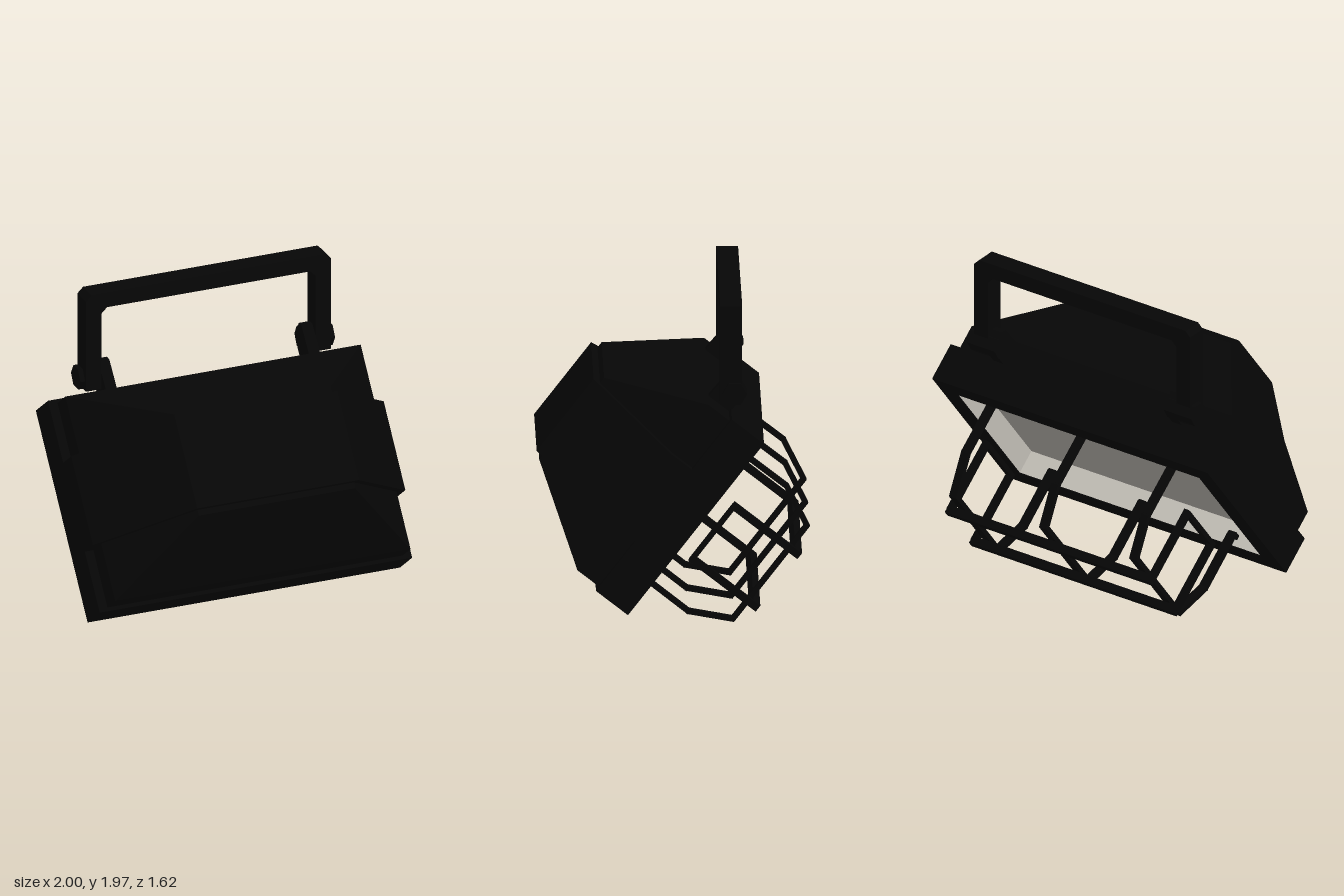
import * as THREE from 'three';

export function createModel() {
  const black = new THREE.MeshStandardMaterial({ color: 0x060606 });
  black.name = 'black';
  const beige = new THREE.MeshStandardMaterial({ color: 0xc3bfb7 });
  beige.name = 'reflector beige';

  const model = new THREE.Group();
  model.name = 'floodlight';

  // Lamp frame: local -z is the direction of the light, z = 0 the rim face
  const lamp = new THREE.Group();
  lamp.name = 'lamp';
  lamp.position.set(0, 0.63, -0.125);
  lamp.rotation.x = -0.661;
  model.add(lamp);

  const add = (parent, name, geo, mat = black) => {
    const mesh = new THREE.Mesh(geo, mat);
    mesh.name = name;
    parent.add(mesh);
    return mesh;
  };
  const poly = (pts) => new THREE.Shape(pts.map(([x, y]) => new THREE.Vector2(x, y)));
  const extrude = (shape, depth) => new THREE.ExtrudeGeometry(shape, { depth, bevelEnabled: false });
  const rect = (w, h) => [[-w, -h], [w, -h], [w, h], [-w, h]];

  // Square bar between two points
  const bar = (parent, name, a, b, w, t) => {
    const from = new THREE.Vector3(...a), to = new THREE.Vector3(...b);
    const dir = to.clone().sub(from);
    const mesh = add(parent, name, new THREE.BoxGeometry(w, t, dir.length() + t * 0.6));
    mesh.position.copy(from).add(to).multiplyScalar(0.5);
    mesh.quaternion.setFromUnitVectors(new THREE.Vector3(0, 0, 1), dir.normalize());
  };

  // Rim with its opening
  const rim = poly(rect(1, 0.656));
  rim.holes.push(poly(rect(0.88, 0.515)));
  add(lamp, 'rim', extrude(rim, 0.24));

  // Reflector: inside of a box, open towards the light
  const tray = new THREE.BoxGeometry(1.752, 1.022, 0.15);
  tray.setIndex(Array.from(tray.index.array).slice(0, 30));
  tray.clearGroups();
  tray.scale(-1, 1, 1);
  tray.computeVertexNormals();
  add(lamp, 'reflector', tray, beige).position.z = 0.08;

  // Housing: straight collar, then a tapered back
  add(lamp, 'housingCollar', new THREE.BoxGeometry(1.89, 1.266, 0.157)).position.z = 0.3175;
  let taper = new THREE.BoxGeometry(1.89, 1.266, 0.527);
  const p = taper.attributes.position;
  for (let i = 0; i < p.count; i++) {
    if (p.getZ(i) > 0) p.setXY(i, Math.sign(p.getX(i)) * 0.5, Math.sign(p.getY(i)) * 0.313);
  }
  taper = taper.toNonIndexed();
  taper.computeVertexNormals();
  add(lamp, 'housingBack', taper).position.z = 0.6595;

  // Raised band wrapping the back and both sides
  const band = extrude(poly([[-1, 0.24], [1, 0.24], [1, 0.4], [0.517, 0.97], [-0.517, 0.97], [-1, 0.4]]), 0.55);
  band.rotateX(Math.PI / 2);
  band.translate(0, 0.272, 0);
  add(lamp, 'housingBand', band);

  // Guard cage: three hoops, hooked into the walls of the opening
  const cage = new THREE.Group();
  cage.name = 'guardCage';
  lamp.add(cage);
  const hoop = [[0.515, 0.06], [0.48, 0.06], [0.482, -0.31], [0.367, -0.553],
    [-0.347, -0.553], [-0.472, -0.315], [-0.47, 0.06], [-0.515, 0.06]];
  for (const x of [-0.655, 0, 0.655]) {
    for (let i = 0; i < hoop.length - 1; i++) {
      bar(cage, 'cageHoop', [x, ...hoop[i]], [x, ...hoop[i + 1]], 0.052, 0.03);
    }
  }
  // Two long bars with folded ends, joined at each end
  for (const y of [-0.195, 0.207]) {
    add(cage, 'cageLongBar', new THREE.BoxGeometry(1.49, 0.045, 0.05)).position.set(0, y, -0.597);
    for (const x of [-0.73, 0.73]) bar(cage, 'cageBarLeg', [x, y, -0.13], [x, y, -0.585], 0.035, 0.045);
  }
  for (const x of [-0.73, 0.73]) bar(cage, 'cageEndLink', [x, -0.195, -0.13], [x, 0.207, -0.13], 0.035, 0.03);

  // Handle: chamfered bracket
  const handle = extrude(poly([
    [-0.785, 1.345], [-0.685, 1.345], [-0.685, 1.84], [-0.65, 1.875], [0.65, 1.875], [0.685, 1.84],
    [0.685, 1.345], [0.785, 1.345], [0.785, 1.935], [0.75, 1.97], [-0.75, 1.97], [-0.785, 1.935],
  ]), 0.13);
  handle.translate(0, 0, -0.4);
  add(model, 'handle', handle);

  // Lugs on the rim and hexagonal pivot bolts
  for (const s of [-1, 1]) {
    const lug = extrude(poly([[0.2, 1.33], [0.2, 1.365], [0.32, 1.505], [0.36, 1.505], [0.42, 1.42], [0.4, 1.36], [0.28, 1.2]]), 0.07);
    lug.rotateY(Math.PI / 2); // shape x becomes -z
    lug.translate(s * 0.65 - 0.035, 0, 0);
    add(model, 'handleLug', lug);
    const bolt = new THREE.CylinderGeometry(0.074, 0.074, 0.2, 6).toNonIndexed();
    bolt.computeVertexNormals();
    const mesh = add(model, 'pivotBolt', bolt);
    mesh.rotation.z = Math.PI / 2;
    mesh.position.set(s * 0.715, 1.407, -0.357);
  }
  return model;
}
